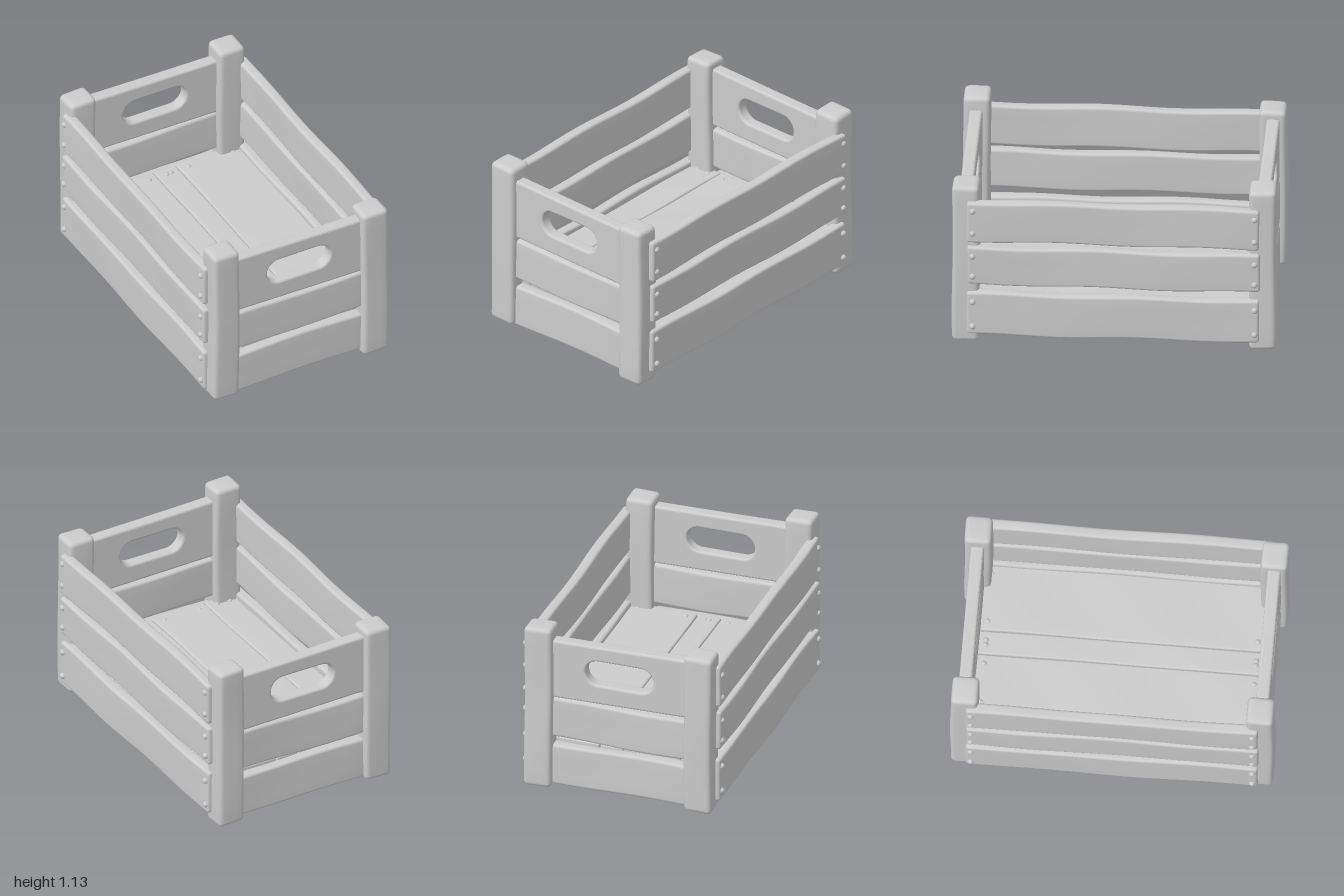
import * as THREE from 'three';
import { mergeVertices } from 'three/addons/utils/BufferGeometryUtils.js';

const wood = new THREE.MeshStandardMaterial({ color: 0xcccccc });
wood.name = 'plain wood';

// Softly worn beam between two corners: rounded edges and a slight hand-carved waviness
function beam(name, min, max, r, seed, wear = 0.006) {
  const a = new THREE.Vector3(...min), b = new THREE.Vector3(...max);
  const size = b.clone().sub(a), half = size.clone().multiplyScalar(0.5);
  const n = size.toArray().map((s) => 6 + Math.round(s / 0.12));
  let geo = new THREE.BoxGeometry(size.x, size.y, size.z, ...n);
  geo.deleteAttribute('uv');
  geo.deleteAttribute('normal');
  geo = mergeVertices(geo);
  const pos = geo.attributes.position;
  const p = new THREE.Vector3(), core = new THREE.Vector3();
  const inner = half.clone().subScalar(r);
  // grid lines gathered near the edges so that the rounding stays tight
  const remap = (v, h, count) => {
    const k = Math.round((v / (2 * h) + 0.5) * count), e = Math.min(k, count - k);
    if (e < 2) return (k < count / 2 ? -1 : 1) * (h - e * 0.5 * r);
    return -(h - r) + ((k - 2) / (count - 4)) * 2 * (h - r);
  };
  for (let i = 0; i < pos.count; i++) {
    p.fromBufferAttribute(pos, i);
    p.set(remap(p.x, half.x, n[0]), remap(p.y, half.y, n[1]), remap(p.z, half.z, n[2]));
    core.copy(p).clamp(inner.clone().negate(), inner);
    p.sub(core).setLength(r).add(core);
    const { x, y, z } = p;
    p.x += wear * 0.5 * Math.sin(5 * y + 4 * z + seed);
    p.y += wear * Math.sin(6 * x + 7 * z + seed * 2.3);
    p.z += wear * 0.5 * Math.sin(5 * x + 6 * y + seed * 1.7);
    pos.setXYZ(i, p.x, p.y, p.z);
  }
  geo.computeVertexNormals();
  const mesh = new THREE.Mesh(geo, wood);
  mesh.name = name;
  mesh.position.copy(a).add(b).multiplyScalar(0.5);
  return mesh;
}

// Top end board with an oblong hand hole
function handleBoard(z) {
  const bevel = 0.015;
  const shape = new THREE.Shape();
  shape.moveTo(-0.47, 0.665);
  shape.lineTo(0.47, 0.65);
  shape.lineTo(0.47, 1.015);
  shape.lineTo(0, 1.022);
  shape.lineTo(-0.47, 1.032);
  shape.closePath();
  const hole = new THREE.Path(), r = 0.098, cy = 0.852, cx = 0.137;
  hole.absarc(cx, cy, r, -Math.PI / 2, Math.PI / 2, false);
  hole.absarc(-cx, cy, r, Math.PI / 2, Math.PI * 1.5, false);
  hole.closePath();
  shape.holes.push(hole);
  const geo = new THREE.ExtrudeGeometry(shape, {
    depth: 0.05, bevelEnabled: true, bevelThickness: bevel, bevelSize: bevel,
    bevelSegments: 3, curveSegments: 12,
  });
  geo.translate(0, 0, z - 0.025);
  const mesh = new THREE.Mesh(geo, wood);
  mesh.name = 'handleBoard';
  return mesh;
}

const nailGeo = new THREE.IcosahedronGeometry(0.02, 1);
function nail(x, y, z) {
  const mesh = new THREE.Mesh(nailGeo, wood);
  mesh.name = 'nail';
  mesh.position.set(x, y, z);
  return mesh;
}

export function createModel() {
  const crate = new THREE.Group();
  crate.name = 'crate';

  // Corner posts: side, end, bottom, top
  const posts = [[-1, 1, 0.035, 1.13], [1, 1, 0.01, 1.085], [-1, -1, 0.02, 1.09], [1, -1, 0.01, 1.11]];
  posts.forEach(([sx, sz, y0, y1], i) => {
    const x = sx * 0.52, z = sz * 0.91;
    crate.add(beam('cornerPost', [x - 0.09, y0, z - 0.083], [x + 0.09, y1, z + 0.083], 0.03, i + 1));
  });

  // End boards, front and back
  for (const s of [-1, 1]) {
    const end = new THREE.Group();
    end.name = s > 0 ? 'frontEnd' : 'backEnd';
    const z = s * 0.912;
    end.add(beam('lowerBoard', [-0.47, 0.035, z - 0.04], [0.47, 0.31, z + 0.04], 0.02, 5 + s));
    end.add(beam('middleBoard', [-0.47, 0.355, z - 0.04], [0.47, 0.625, z + 0.04], 0.02, 9 + s));
    end.add(handleBoard(z));
    crate.add(end);
  }

  // Long side slats, nailed over the posts
  const rows = [[0.07, 0.36], [0.42, 0.68], [0.72, 0.995]];
  for (const s of [-1, 1]) {
    const side = new THREE.Group();
    side.name = s > 0 ? 'leftSide' : 'rightSide';
    rows.forEach(([y0, y1], i) => {
      const x = s * 0.605, lift = s < 0 ? 0.01 : 0;
      side.add(beam('sideSlat', [x - 0.034, y0 + lift, -0.895], [x + 0.034, y1 + lift, 0.9], 0.018, i * 2 + s));
      for (const z of [-0.865, 0.865])
        for (const y of [y0 + 0.06, y1 - 0.06]) side.add(nail(s * 0.637, y + lift, z));
    });
    crate.add(side);
  }

  // Deep floor boards with narrow seams
  const floor = new THREE.Group();
  floor.name = 'floor';
  const seams = [-0.585, -0.375, -0.003, 0.15, 0.585];
  for (let i = 0; i < seams.length - 1; i++) {
    const x0 = seams[i] + 0.002, x1 = seams[i + 1] - 0.002;
    floor.add(beam('floorBoard', [x0, 0.07, -0.89], [x1, 0.33, 0.89], 0.012, i, 0.003));
    for (const z of [-0.83, 0.83])
      for (const x of [x0 + 0.06, x1 - 0.06]) floor.add(nail(x, 0.32, z));
  }
  crate.add(floor);

  return crate;
}
